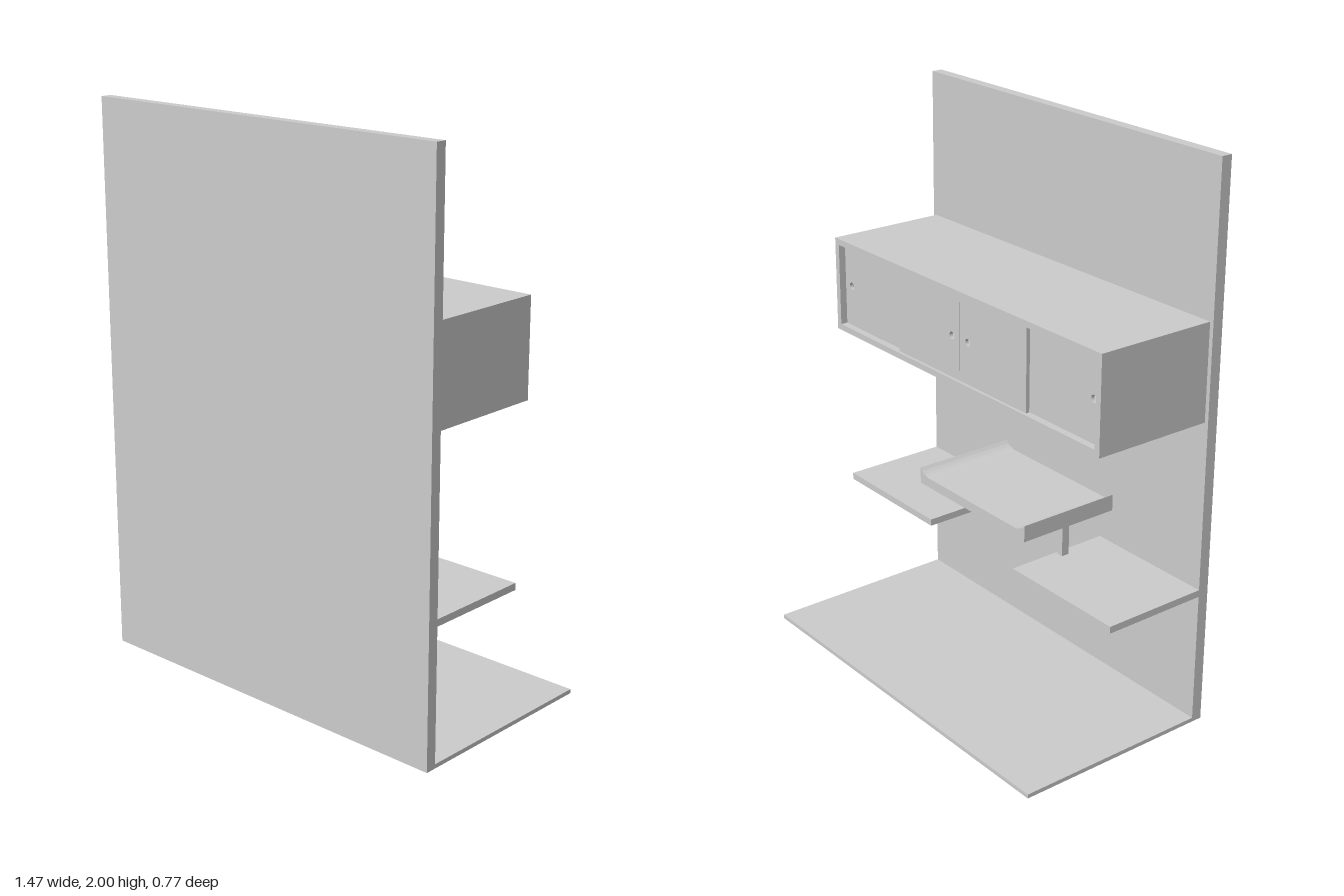
import * as THREE from 'three';

const material = new THREE.MeshStandardMaterial({ color: 0xcccccc, flatShading: true });

// Box given by its lower and upper limits on each axis
function box(name, [x0, x1], [y0, y1], [z0, z1]) {
  const mesh = new THREE.Mesh(new THREE.BoxGeometry(x1 - x0, y1 - y0, z1 - z0), material);
  mesh.position.set((x0 + x1) / 2, (y0 + y1) / 2, (z0 + z1) / 2);
  mesh.name = name;
  return mesh;
}

// Limits on x, mirrored to the chosen side
const span = (side, a, b) => (side > 0 ? [a, b] : [-b, -a]);

// Sliding door panel with a round finger hole
function door(name, [x0, x1], [y0, y1], z, holeX) {
  const shape = new THREE.Shape([
    new THREE.Vector2(x0, y0), new THREE.Vector2(x1, y0),
    new THREE.Vector2(x1, y1), new THREE.Vector2(x0, y1),
  ]);
  const hole = new THREE.Path();
  hole.absarc(holeX, (y0 + y1) / 2, 0.013, 0, Math.PI * 2, true);
  shape.holes.push(hole);
  const geometry = new THREE.ExtrudeGeometry(shape, { depth: 0.014, bevelEnabled: false, curveSegments: 12 });
  const mesh = new THREE.Mesh(geometry, material);
  mesh.position.z = z;
  mesh.name = name;
  return mesh;
}

export function createModel() {
  const model = new THREE.Group();
  model.name = 'wallUnit';

  // Wall panel and floor slab
  model.add(box('wallPanel', [-0.735, 0.735], [0, 2], [0.345, 0.385]));
  model.add(box('floorSlab', [-0.735, 0.735], [0, 0.015], [-0.385, 0.345]));

  // Cabinet carcass, open towards the back
  const cabinet = new THREE.Group();
  cabinet.name = 'cabinet';
  const W = 0.72, T = 0.022, depth = [-0.105, 0.345], low = 1.12, high = 1.465;
  cabinet.add(box('cabinetBottom', [-W, W], [low, low + T], depth));
  cabinet.add(box('cabinetTop', [-W, W], [high - T, high], depth));
  for (const side of [1, -1]) {
    cabinet.add(box('cabinetSide', span(side, W - T, W), [low + T, high - T], depth));
    // Inner door on the outer track, end door on the track behind it
    const height = [low + T, high - T];
    cabinet.add(door('innerDoor', span(side, 0.001, 0.35), height, -0.094, side * 0.043));
    cabinet.add(door('endDoor', span(side, 0.33, W - T), height, -0.079, side * 0.66));
  }
  model.add(cabinet);

  // Low shelves, each with a post holding the tray
  for (const side of [1, -1]) {
    model.add(box('shelf', span(side, 0.235, 0.735), [0.49, 0.515], [-0.05, 0.345]));
    model.add(box('trayPost', span(side, 0.245, 0.27), [0.515, 0.64], [0.14, 0.17]));
  }

  // Raised tray with upturned, sloping ends
  const profile = new THREE.Shape();
  profile.moveTo(-0.295, 0.64);
  profile.lineTo(0.295, 0.64);
  profile.lineTo(0.295, 0.7);
  profile.quadraticCurveTo(0.275, 0.677, 0.245, 0.675);
  profile.lineTo(-0.245, 0.675);
  profile.quadraticCurveTo(-0.275, 0.677, -0.295, 0.7);
  const tray = new THREE.Mesh(
    new THREE.ExtrudeGeometry(profile, { depth: 0.395, bevelEnabled: false, curveSegments: 4 }), material);
  tray.position.z = -0.05;
  tray.name = 'tray';
  model.add(tray);

  return model;
}
